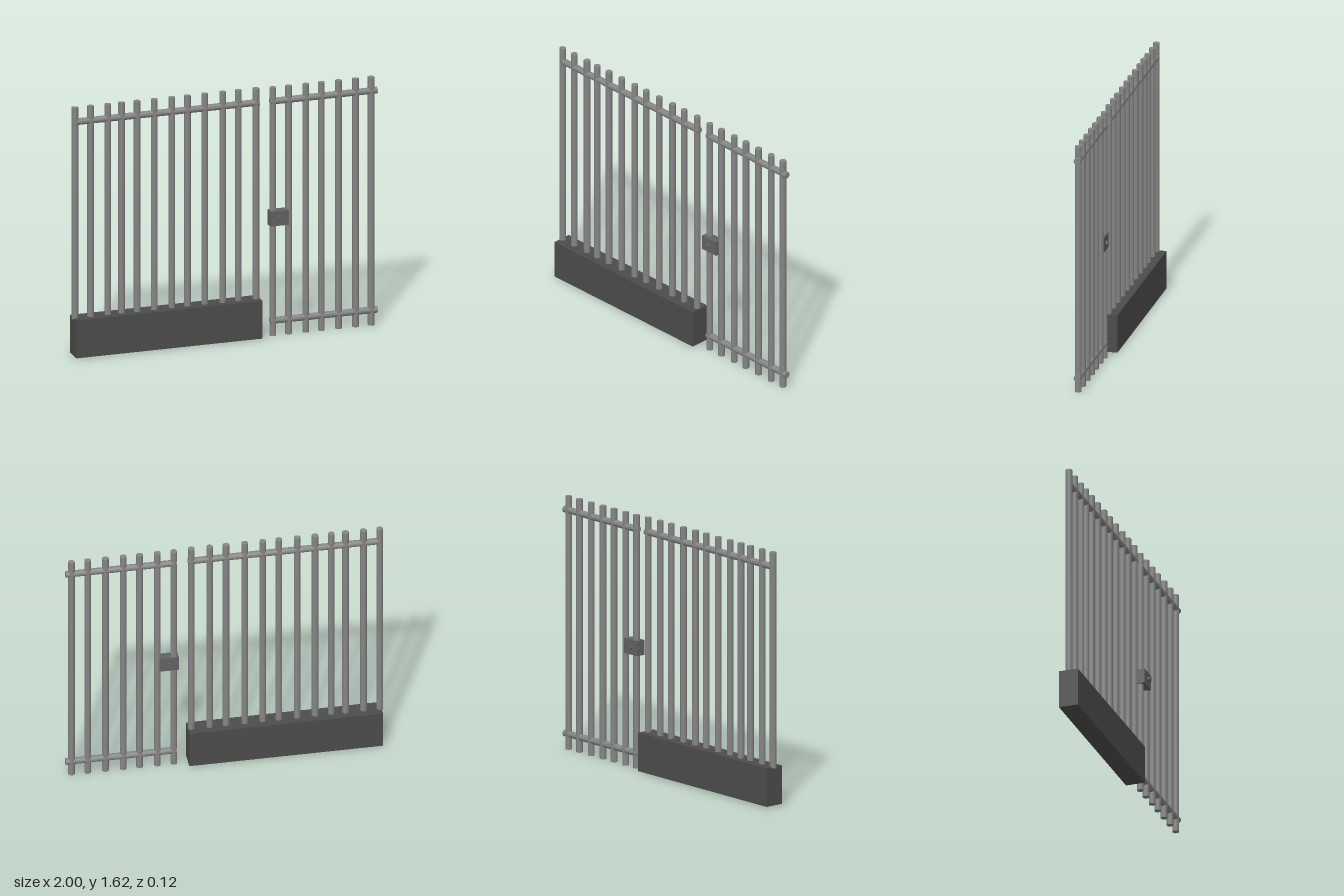
import * as THREE from 'three';

const steel = new THREE.MeshStandardMaterial({ color: 0x858585 });
const dark = new THREE.MeshStandardMaterial({ color: 0x4c4c4c });
const lockGrey = new THREE.MeshStandardMaterial({ color: 0x626262 });
const R = 0.021;

function add(parent, name, geometry, material, x, y, z = 0) {
  const mesh = new THREE.Mesh(geometry, material);
  mesh.name = name;
  mesh.position.set(x, y, z);
  parent.add(mesh);
  return mesh;
}

// Upright round bars between two heights
function addBars(parent, name, xs, y0, y1) {
  const geometry = new THREE.CylinderGeometry(R, R, y1 - y0, 16);
  xs.forEach((x, i) => add(parent, name + (i + 1), geometry, steel, x, (y0 + y1) / 2));
}

// Horizontal round rail
function addRail(parent, name, x0, x1, y) {
  const geometry = new THREE.CylinderGeometry(R, R, x1 - x0, 16).rotateZ(Math.PI / 2);
  add(parent, name, geometry, steel, (x0 + x1) / 2, y);
}

export function createModel() {
  const model = new THREE.Group();
  model.name = 'fenceWithGate';

  // Fixed fence panel standing on a low wall
  const fence = new THREE.Group();
  fence.name = 'fence';
  add(fence, 'baseWall', new THREE.BoxGeometry(1.22, 0.246, 0.124), dark, -0.38, 0.129);
  addBars(fence, 'fenceBar',
    [-0.979, -0.877, -0.764, -0.674, -0.572, -0.459, -0.344, -0.242, -0.129, -0.011, 0.092, 0.207],
    0.245, 1.622);
  addRail(fence, 'fenceRail', -0.98, 0.228, 1.527);
  model.add(fence);

  // Gate leaf
  const gate = new THREE.Group();
  gate.name = 'gate';
  addBars(gate, 'gateBar', [0.318, 0.421, 0.533, 0.636, 0.748, 0.86, 0.962], 0, 1.616);
  addRail(gate, 'gateTopRail', 0.3, 1, 1.525);
  addRail(gate, 'gateBottomRail', 0.3, 1, 0.096);

  // Lock case with a knob on each side
  add(gate, 'lockCase', new THREE.BoxGeometry(0.122, 0.096, 0.059), lockGrey, 0.35, 0.769, 0.0085);
  const knob = new THREE.CylinderGeometry(0.014, 0.014, 0.092, 12).rotateX(Math.PI / 2);
  add(gate, 'lockKnob', knob, lockGrey, 0.35, 0.767, 0.012);
  model.add(gate);

  return model;
}
